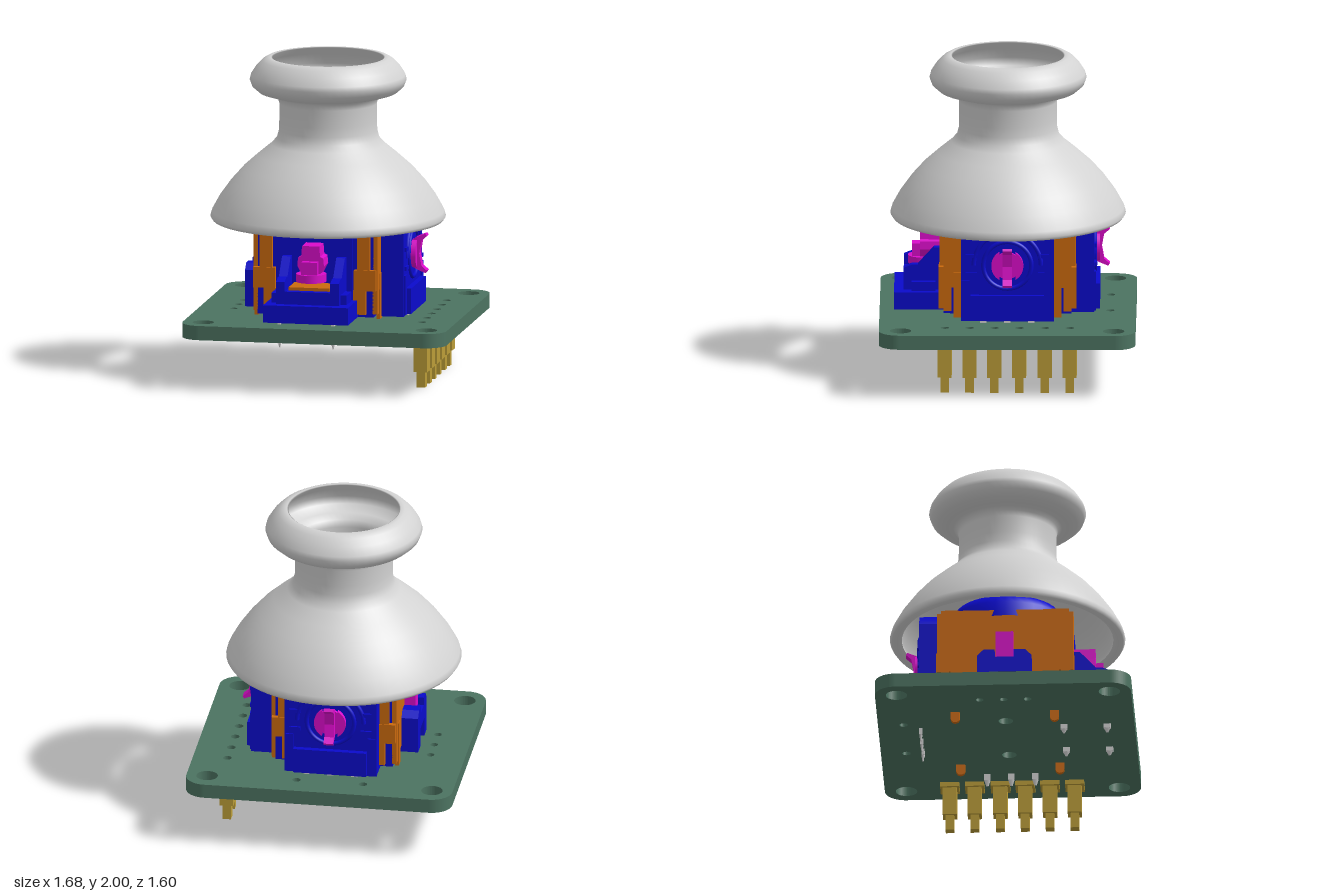
import * as THREE from 'three';

const mat = (name, color, side = THREE.FrontSide) => {
  const m = new THREE.MeshStandardMaterial({ color, side });
  m.name = name;
  return m;
};

export function createModel() {
  const grey = mat('light grey', 0xd2d2d2, THREE.DoubleSide);
  const green = mat('board green', 0x4c7361);
  const blue = mat('blue', 0x0a0acc);
  const magenta = mat('magenta', 0xda0cca);
  const orange = mat('orange', 0xcb6a0e);
  const gold = mat('gold', 0xbb9d38);

  const root = new THREE.Group();
  root.name = 'joystickModule';
  const group = (name, parent, x = 0, rotY = 0) => {
    const g = new THREE.Group();
    g.name = name;
    g.position.x = x;
    g.rotation.y = rotY;
    parent.add(g);
    return g;
  };
  const add = (parent, name, geo, m, x = 0, y = 0, z = 0) => {
    const mesh = new THREE.Mesh(geo, m);
    mesh.name = name;
    mesh.position.set(x, y, z);
    parent.add(mesh);
    return mesh;
  };
  // box given by its minimum and maximum on each axis
  const box = (parent, name, m, x0, x1, y0, y1, z0, z1) =>
    add(parent, name, new THREE.BoxGeometry(x1 - x0, y1 - y0, z1 - z0), m,
      (x0 + x1) / 2, (y0 + y1) / 2, (z0 + z1) / 2);
  const shapeOf = pts => new THREE.Shape(pts.map(p => new THREE.Vector2(...p)));
  const extrude = (shape, depth) =>
    new THREE.ExtrudeGeometry(shape, { depth, bevelEnabled: false, curveSegments: 20 });

  // circuit board with rounded corners and drilled holes
  const W = 0.84, D = 0.8, R = 0.13;
  const plan = new THREE.Shape();
  plan.absarc(W - R, D - R, R, 0, Math.PI / 2);
  plan.absarc(-W + R, D - R, R, Math.PI / 2, Math.PI);
  plan.absarc(-W + R, -D + R, R, Math.PI, Math.PI * 1.5);
  plan.absarc(W - R, -D + R, R, Math.PI * 1.5, Math.PI * 2);
  const pinZ = [0.39, 0.235, 0.08, -0.075, -0.235, -0.39];
  const holes = [
    ...[[1, 1], [1, -1], [-1, 1], [-1, -1]].map(([a, b]) => [a * 0.71, b * 0.665, 0.067]),
    ...pinZ.map(z => [0.625, z, 0.027]),
    ...[-0.15, 0, 0.15].map(z => [-0.62, z, 0.024]),
    [-0.3, 0, 0.045], [0.2, 0, 0.045], [0.15, -0.64, 0.026], [-0.27, -0.64, 0.026],
  ];
  for (const [x, z, r] of holes) {
    const h = new THREE.Path();
    h.absarc(x, -z, r, 0, Math.PI * 2, true);
    plan.holes.push(h);
  }
  add(root, 'circuitBoard', extrude(plan, 0.09).rotateX(-Math.PI / 2), green, 0, 0.32, 0);

  // row of gold header pins under the board
  for (const z of pinZ) {
    const pin = group('headerPin', root, 0.625);
    pin.position.z = z;
    box(pin, 'pinFlange', gold, -0.06, 0.06, 0.283, 0.312, -0.06, 0.06);
    box(pin, 'pinBody', gold, -0.044, 0.044, 0.1, 0.29, -0.044, 0.044);
    box(pin, 'pinTip', gold, -0.027, 0.027, 0, 0.1, -0.027, 0.027);
  }

  // everything above the board shares one offset axis
  const stick = group('joystick', root, -0.05);

  // thumb cap: thin hollow shell
  const profile = [
    [0.66, 0.99], [0.69, 0.972], [0.722, 0.975], [0.735, 0.995], [0.725, 1.03], [0.675, 1.12],
    [0.61, 1.21], [0.53, 1.3], [0.44, 1.38], [0.355, 1.45], [0.32, 1.49], [0.307, 1.54],
    [0.305, 1.6], [0.305, 1.71], [0.315, 1.745], [0.34, 1.762], [0.38, 1.768], [0.435, 1.785],
    [0.475, 1.82], [0.49, 1.86], [0.482, 1.89], [0.45, 1.94], [0.41, 1.98], [0.38, 1.997],
    [0.355, 2.0], [0.347, 1.995], [0.39, 1.95], [0.435, 1.88], [0.43, 1.83], [0.36, 1.8],
    [0.31, 1.775], [0.298, 1.73], [0.298, 1.55], [0.305, 1.48], [0.34, 1.42], [0.42, 1.35],
    [0.5, 1.27], [0.57, 1.19], [0.63, 1.1], [0.66, 1.02], [0.66, 0.99],
  ].map(p => new THREE.Vector2(...p));
  add(stick, 'thumbCap', new THREE.LatheGeometry(profile, 56), grey);

  // housing core with an open round top
  const housing = group('housing', stick);
  box(housing, 'core', blue, -0.37, 0.37, 0.43, 0.99, -0.4, 0.4);
  const collar = [[0.4, 0.98], [0.39, 1.08], [0.33, 1.15], [0.2, 1.17], [0.17, 1.15], [0.16, 0.98]]
    .map(p => new THREE.Vector2(...p));
  add(housing, 'topCollar', new THREE.LatheGeometry(collar, 40), blue);

  // shaft and gimbal seen through the cap
  add(stick, 'shaft', new THREE.CylinderGeometry(0.135, 0.135, 0.24, 32).scale(1, 1, 0.82), grey, 0, 1.06, 0);
  add(stick, 'gimbalRing', new THREE.TorusGeometry(0.148, 0.02, 10, 40).rotateX(Math.PI / 2), magenta, 0, 1.17, 0);
  for (const s of [1, -1])
    box(stick, 'gimbalBar', magenta, -0.25, 0.25, 1.16, 1.21, s * 0.132 - 0.02, s * 0.132 + 0.02);

  // position sensor, modelled facing +z
  const panel = new THREE.Shape();
  panel.moveTo(-0.29, 0.42);
  panel.lineTo(0.29, 0.42);
  panel.lineTo(0.29, 0.98);
  panel.quadraticCurveTo(0.24, 1.1, 0, 1.11);
  panel.quadraticCurveTo(-0.24, 1.1, -0.29, 0.98);
  const hookProfile = shapeOf([[0.54, 0.7], [0.565, 0.68], [0.625, 0.655], [0.635, 0.67], [0.6, 0.7],
    [0.585, 0.78], [0.6, 0.86], [0.635, 0.89], [0.625, 0.905], [0.565, 0.88], [0.54, 0.86]]);
  const makeSensor = rotY => {
    const g = group('positionSensor', stick, 0, rotY);
    add(g, 'sensorPanel', extrude(panel, 0.17), blue, 0, 0, 0.37);
    box(g, 'sensorFoot', blue, -0.23, 0.23, 0.43, 0.59, 0.5, 0.575);
    for (const s of [1, -1]) {
      box(g, 'sensorRib', blue, s * 0.26 - 0.025, s * 0.26 + 0.025, 0.43, 0.68, 0.5, 0.55);
      for (const y of [0.72, 0.84])
        box(g, 'sensorNotchBar', blue, s * 0.225 - 0.035, s * 0.225 + 0.035, y - 0.012, y + 0.012, 0.53, 0.553);
    }
    for (const [r, a] of [[0.15, Math.PI * 2], [0.21, Math.PI]])
      add(g, 'sensorRing', new THREE.TorusGeometry(r, 0.014, 8, 40, a), blue, 0, 0.78, 0.542);
    // rotor: disc, two side lobes and a hooked centre bar
    add(g, 'rotorDisc', new THREE.CylinderGeometry(0.085, 0.085, 0.02, 28).rotateX(Math.PI / 2), magenta, 0, 0.78, 0.55);
    for (const s of [1, -1]) {
      const lobe = new THREE.Shape();
      lobe.absarc(0, 0, 0.1, -1.05, 1.05);
      const m = add(g, 'rotorLobe', extrude(lobe, 0.03), magenta, 0, 0.78, s > 0 ? 0.545 : 0.575);
      if (s < 0) m.rotation.y = Math.PI;
    }
    add(g, 'rotorHook', extrude(hookProfile, 0.06).translate(0, 0, -0.03).rotateY(-Math.PI / 2), magenta);
    // contact pins
    for (const x of [-0.15, 0, 0.15]) {
      box(g, 'contactPin', grey, x - 0.02, x + 0.02, 0.28, 0.44, 0.525, 0.545);
      add(g, 'contactTip', new THREE.CylinderGeometry(0.02, 0.008, 0.04, 8).scale(1, 1, 0.5), grey, x, 0.26, 0.535);
    }
  };
  makeSensor(Math.PI / 2);
  makeSensor(Math.PI);

  // sheet-metal corner frames with solder legs
  for (const sx of [1, -1]) for (const sz of [1, -1]) {
    const g = group('cornerFrame', stick);
    const span = (name, x0, x1, y0, y1, z0, z1) => {
      const [xa, xb] = sx > 0 ? [x0, x1] : [-x1, -x0];
      const [za, zb] = sz > 0 ? [z0, z1] : [-z1, -z0];
      box(g, name, orange, xa, xb, y0, y1, za, zb);
    };
    span('facePlate', 0.27, 0.35, 0.73, 1.02, 0.39, 0.425);
    span('faceTab', 0.25, 0.39, 0.6, 0.73, 0.395, 0.43);
    span('faceFoot', 0.245, 0.325, 0.45, 0.6, 0.395, 0.43);
    span('sidePlate', 0.365, 0.395, 0.6, 1.02, 0.29, 0.4);
    span('sideFoot', 0.365, 0.395, 0.45, 0.6, 0.35, 0.4);
    span('solderLeg', 0.375, 0.4, 0.27, 0.7, 0.282, 0.338);
    add(g, 'legTip', new THREE.CylinderGeometry(0.028, 0.028, 0.025, 16).rotateZ(Math.PI / 2), orange,
      sx * 0.3875, 0.277, sz * 0.31);
  }

  // left-hand metal wall with its bridge bracket and rotor end
  box(stick, 'sideWall', orange, -0.39, -0.36, 0.47, 1.02, -0.3, 0.3);
  const bridge = shapeOf([[-0.17, 0.43], [-0.08, 0.43], [-0.08, 0.55], [0.08, 0.55], [0.08, 0.43], [0.17, 0.43],
    [0.17, 0.66], [0.13, 0.7], [0.06, 0.7], [0.06, 0.65], [-0.06, 0.65], [-0.06, 0.7], [-0.13, 0.7], [-0.17, 0.66]]);
  add(stick, 'sideBracket', extrude(bridge, 0.11).rotateY(-Math.PI / 2), blue, -0.385, 0, 0);
  box(stick, 'sideRotorEnd', magenta, -0.46, -0.37, 0.66, 0.84, -0.055, 0.055);

  // push switch on the front
  const sw = group('frontSwitch', stick);
  box(sw, 'switchBase', blue, -0.27, 0.27, 0.43, 0.54, 0.38, 0.71);
  box(sw, 'switchBody', blue, -0.2, 0.2, 0.53, 0.62, 0.38, 0.65);
  box(sw, 'frontPanel', blue, -0.24, 0.24, 0.54, 1.03, 0.38, 0.415);
  box(sw, 'switchPlate', orange, -0.13, 0.13, 0.62, 0.64, 0.41, 0.6);
  const cheek = shapeOf([[0.4, 0.54], [0.65, 0.54], [0.65, 0.68], [0.6, 0.7], [0.56, 0.7], [0.46, 0.81], [0.4, 0.81]]);
  for (const x of [-0.145, 0.2])
    add(sw, 'switchCheek', extrude(cheek, 0.055).rotateY(-Math.PI / 2), blue, x, 0, 0);
  for (const s of [1, -1])
    box(sw, 'switchClip', blue, s * 0.22 - 0.02, s * 0.22 + 0.02, 0.54, 0.6, 0.45, 0.6);
  // plunger and the arm that presses it
  add(sw, 'plunger', new THREE.CylinderGeometry(0.095, 0.095, 0.05, 28), magenta, 0, 0.695, 0.53);
  const arm = shapeOf([[-0.055, 0.71], [0.055, 0.71], [0.085, 0.77], [0.08, 0.82], [0.06, 0.83], [0.055, 0.895],
    [-0.055, 0.895], [-0.06, 0.83], [-0.08, 0.82], [-0.085, 0.77]]);
  add(sw, 'pressArm', extrude(arm, 0.14), magenta, 0, 0, 0.41);
  box(sw, 'pressArmTip', magenta, -0.05, 0.05, 0.71, 0.8, 0.54, 0.6);
  for (const x of [-0.18, 0.16]) for (const z of [0.36, 0.63]) {
    box(sw, 'switchPin', grey, x - 0.01, x + 0.01, 0.29, 0.44, z - 0.022, z + 0.022);
    add(sw, 'switchPinTip', new THREE.CylinderGeometry(0.022, 0.006, 0.03, 8).scale(0.5, 1, 1), grey, x, 0.277, z);
  }
  return root;
}
